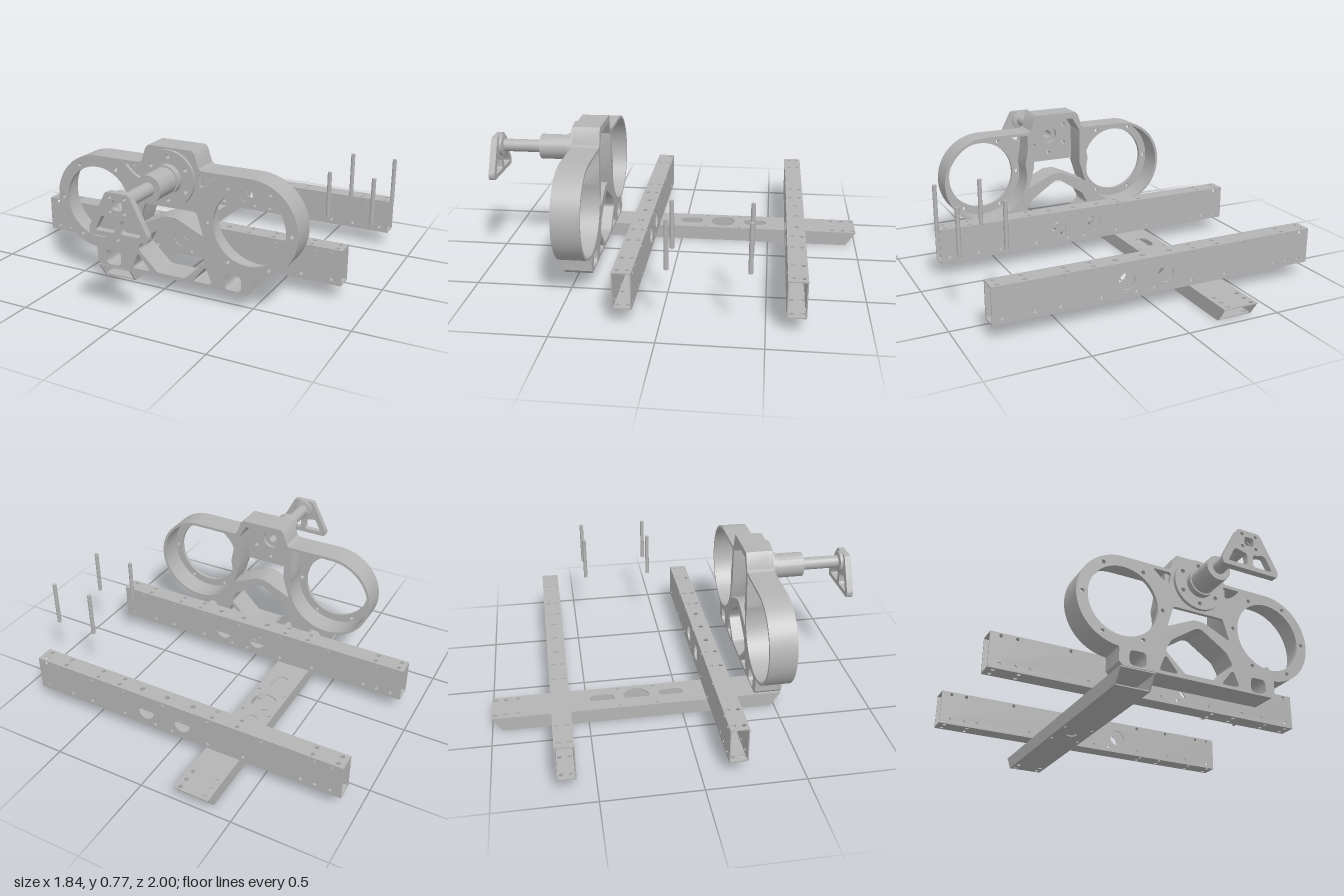
import * as THREE from 'three';
import { toCreasedNormals } from 'three/addons/utils/BufferGeometryUtils.js';

const CX = 0.06; // centre line of the housing and shaft
const WALL = 0.006; // tube wall
const metal = new THREE.MeshStandardMaterial({ color: 0xb4b4b4 });
metal.name = 'grey metal';

const add = (parent, name, geo) => {
  const m = new THREE.Mesh(toCreasedNormals(geo, 0.5), metal);
  m.name = name;
  parent.add(m);
  return m;
};

// Outline helpers: each returns a list of Vector2
const poly = (...p) => p.map(([x, y]) => new THREE.Vector2(x, y));
const rect = (x0, y0, x1, y1) => poly([x0, y0], [x1, y0], [x1, y1], [x0, y1]);
const arc = (x, y, r, a0, a1, n) => Array.from({ length: n + 1 }, (_, i) => {
  const a = THREE.MathUtils.degToRad(a0 + (a1 - a0) * i / n);
  return new THREE.Vector2(x + r * Math.cos(a), y + r * Math.sin(a));
});
const circle = (x, y, r, n = 12) => arc(x, y, r, 0, 360, n).slice(0, n);
const mirror = (pts) => pts.map((p) => new THREE.Vector2(-p.x, p.y)).reverse();
const both = (pts) => [pts, mirror(pts)];
const closeHalf = (half) => [...half, ...mirror(half)];
// Replace each corner by a small curve
const rounded = (pts, r) => pts.flatMap((p, i) => {
  const toward = (q) => p.clone().lerp(q, Math.min(0.45, r / p.distanceTo(q)));
  const prev = pts[(i + pts.length - 1) % pts.length];
  const next = pts[(i + 1) % pts.length];
  return new THREE.QuadraticBezierCurve(toward(prev), p, toward(next)).getPoints(4);
});

// Extruded sheet with holes, all outlines wound the same way
function sheet(outline, holes, depth) {
  const ccw = (pts) => (THREE.ShapeUtils.isClockWise(pts) ? pts.slice().reverse() : pts);
  const shape = new THREE.Shape(ccw(outline));
  shape.holes = holes.map((h) => new THREE.Path(ccw(h)));
  return new THREE.ExtrudeGeometry(shape, { depth, bevelEnabled: false });
}
// Horizontal sheet: outline in (x, z), top surface at y
const flat = (outline, holes, y) =>
  sheet(outline, holes, WALL).rotateX(Math.PI / 2).translate(0, y, 0);

// Hollow drilled beam running across the model
function crossBeam(zc) {
  const g = new THREE.Group();
  const [x0, x1, y0, y1, hz] = [-0.92, 0.85, 0.08, 0.27, 0.0475];
  const bolts = [-0.885, -0.755, -0.355, -0.215, 0.335, 0.47, 0.68, 0.815]
    .flatMap((x) => [circle(x, -0.025, 0.011), circle(x, 0.025, 0.011)]);
  const pins = [-0.09, 0.06, 0.21].map((x) => circle(x, 0, 0.014));
  add(g, 'beamTop', flat(rect(x0, -hz, x1, hz), [...bolts, ...pins], y1));
  add(g, 'beamBottom', flat(rect(x0, -hz, x1, hz), bolts, y0 + WALL));
  const sideHoles = [
    ...[-0.05, 0.165].map((x) => circle(x, 0.17, 0.045, 28)),
    ...[-0.865, -0.785, -0.71, -0.4, -0.2, 0.01, 0.11, 0.3, 0.51, 0.64, 0.8].map((x) => circle(x, 0.108, 0.009)),
    ...[-0.865, -0.78, -0.5, -0.2, 0.06, 0.3, 0.5, 0.72, 0.8].map((x) => circle(x, 0.255, 0.009)),
  ];
  for (const z of [-hz, hz - WALL]) {
    add(g, 'beamSide', sheet(rect(x0, y0, x1, y1), sideHoles, WALL).translate(0, 0, z));
  }
  g.position.z = zc;
  return g;
}

// Long hollow tube with slanted ends
function keelTube() {
  const g = new THREE.Group();
  g.name = 'keelTube';
  const [x0, x1, h, xc] = [-0.38, -0.19, 0.078, -0.285];
  const bolts = [
    ...[-0.98, -0.925, -0.865].flatMap((z) => [circle(-0.352, z, 0.012), circle(-0.217, z, 0.012)]),
    ...[-0.33, -0.14].flatMap((z) => [circle(-0.362, z, 0.009), circle(-0.208, z, 0.009)]),
  ];
  const slot = (z) => [...arc(xc, z + 0.03, 0.035, 0, 180, 10), ...arc(xc, z - 0.03, 0.035, 180, 360, 10)];
  add(g, 'keelTop', flat(rect(x0, -1, x1, 0.535),
    [...bolts, slot(-0.42), slot(-0.05), circle(xc, -0.235, 0.068, 28)], h));
  add(g, 'keelBottom', flat(rect(x0, -0.945, x1, 0.48),
    [...bolts.slice(2), circle(xc, -0.235, 0.03, 20)], WALL));
  for (const x of [x0 + WALL, x1]) {
    add(g, 'keelSide', sheet(poly([-0.945, 0], [0.48, 0], [0.535, h], [-1, h]), [], WALL)
      .rotateY(-Math.PI / 2).translate(x, 0, 0));
  }
  return g;
}

// Twin-ring housing: a pierced front sheet backed by a deep rim
function housing() {
  const g = new THREE.Group();
  g.name = 'housing';
  const [lx, ly] = [0.425, 0.425]; // lobe centre
  const outline = closeHalf([
    ...poly([0.12, 0.77], [0.135, 0.755], [0.158, 0.685], [0.175, 0.675]),
    ...arc(lx, ly, 0.25, 90, -85, 44),
    ...poly([0.445, 0.165], [0.445, 0.1], [0.425, 0.08]),
  ]);
  const lower = rounded(closeHalf(poly([0.015, 0.372], [0.16, 0.275], [0.195, 0.21], [0.08, 0.1])), 0.015);
  const feet = [
    ...both(rounded(rect(0.3, 0.09, 0.39, 0.17), 0.025)),
    ...both(rounded(poly([0.195, 0.187], [0.232, 0.097], [0.122, 0.097]), 0.022)),
  ];
  const hubBolts = Array.from({ length: 6 }, (_, i) => {
    const a = (30 + 60 * i) * Math.PI / 180;
    return circle(0.11 * Math.cos(a), 0.62 + 0.11 * Math.sin(a), 0.012);
  });
  const ringBolts = Array.from({ length: 6 }, (_, i) =>
    circle(lx + 0.218 * Math.cos(i * Math.PI / 3), ly + 0.218 * Math.sin(i * Math.PI / 3), 0.011));
  const upper = rounded(closeHalf(poly([0.145, 0.465], [0.182, 0.345], [0.03, 0.415])), 0.012);
  add(g, 'housingFace', sheet(outline, [
    lower, ...feet, upper, ...hubBolts, circle(0, 0.62, 0.05, 24),
    ...both(circle(lx, ly, 0.19, 56)),
    ...ringBolts.flatMap(both),
    ...both(rounded(poly([0.155, 0.657], [0.262, 0.657], [0.205, 0.605], [0.165, 0.59]), 0.015)),
  ], 0.02).translate(0, 0, 0.515));

  const lobe = [...arc(lx, ly, 0.235, 90, -195, 60), ...poly([0.18, 0.58], [0.18, 0.66])];
  const column = closeHalf(poly([0.1, 0.735], [0.145, 0.66], [0.145, 0.465], [0.182, 0.345], [0.03, 0.415]));
  add(g, 'housingRim', sheet(outline, [lower, ...feet, column, ...both(lobe)], 0.125).translate(0, 0, 0.39));
  add(g, 'hubFlange', sheet(circle(0, 0.62, 0.142, 48),
    [...hubBolts, circle(0, 0.62, 0.024, 24)], 0.018).translate(0, 0, 0.535));
  g.position.x = CX;
  return g;
}

// Hollow stepped shaft with a pierced end plate
function shaft() {
  const g = new THREE.Group();
  g.name = 'shaftAssembly';
  const bore = 0.024;
  const profile = poly([bore, 0.55], [0.075, 0.55], [0.075, 0.588], [0.067, 0.588], [0.067, 0.738],
    [0.034, 0.738], [0.034, 0.945], [0.058, 0.95], [0.058, 0.966], [bore, 0.966], [bore, 0.55]);
  add(g, 'shaft', new THREE.LatheGeometry(profile, 40).rotateX(Math.PI / 2).translate(0, 0.62, 0));
  const outline = rounded(closeHalf(poly([0.06, 0.677], [0.155, 0.495], [0.15, 0.465])), 0.012);
  add(g, 'endPlate', sheet(outline, [
    rounded(rect(-0.026, 0.596, 0.026, 0.644), 0.015),
    ...both(circle(0.038, 0.655, 0.009)),
    ...both(circle(0.038, 0.588, 0.009)),
    ...both(rounded(poly([0.015, 0.488], [0.122, 0.488], [0.082, 0.565], [0.015, 0.55]), 0.015)),
  ], 0.034).translate(0, 0, 0.966));
  g.position.x = CX;
  return g;
}

export function createModel() {
  const model = new THREE.Group();
  model.name = 'frameAssembly';
  const front = crossBeam(0.1775);
  front.name = 'frontBeam';
  const rear = crossBeam(-0.6425);
  rear.name = 'rearBeam';
  model.add(front, rear, keelTube(), housing(), shaft());

  // Four upright rods
  for (const x of [0.675, 0.908]) {
    for (const z of [-0.425, -0.043]) {
      add(model, 'rod', new THREE.CylinderGeometry(0.011, 0.011, 0.245, 16)).position.set(x, 0.4525, z);
    }
  }
  return model;
}
